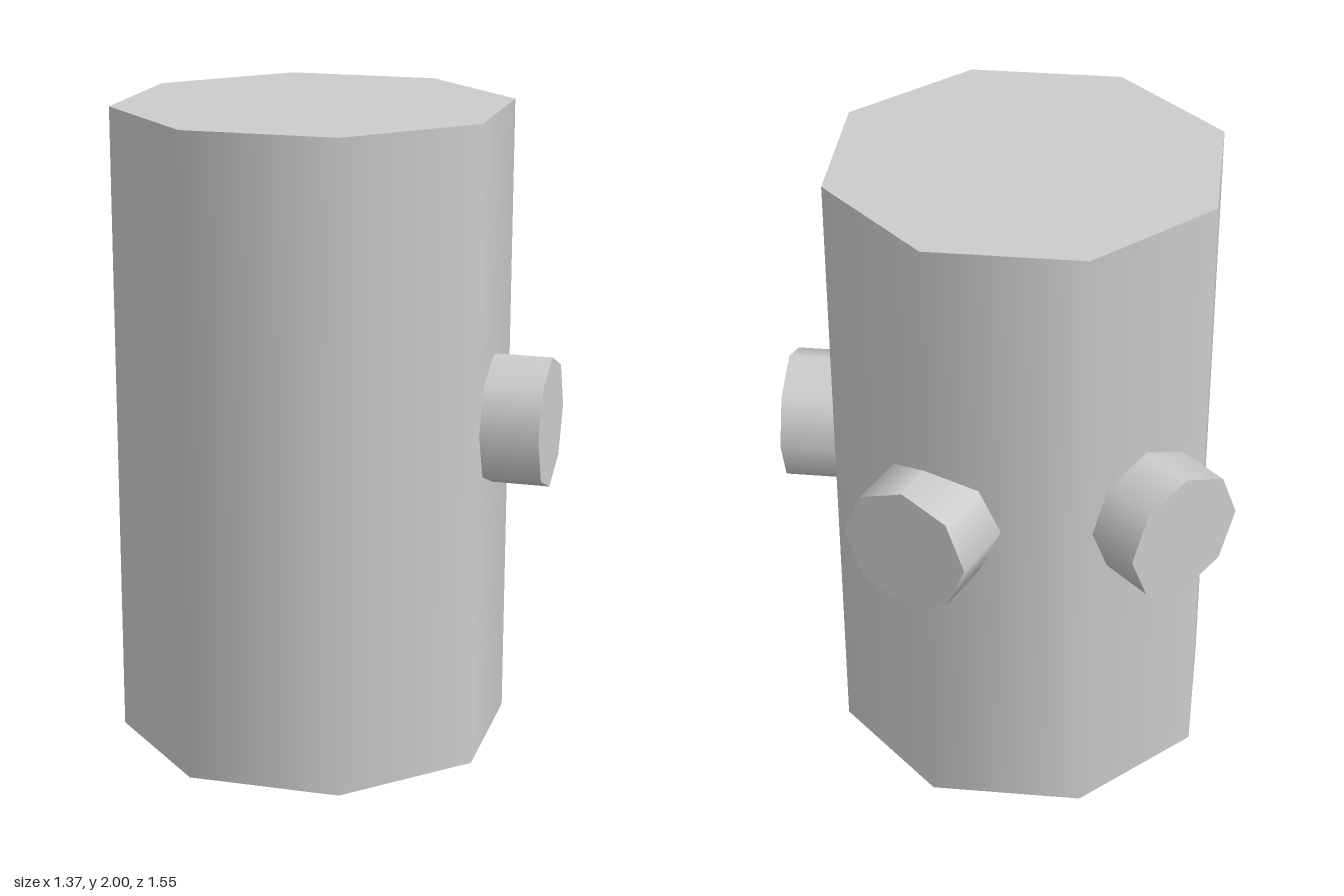
import * as THREE from 'three';

const BODY_X = -0.068;
const NUB_REACH = 0.751;

export function createModel() {
  const model = new THREE.Group();
  const grey = new THREE.MeshStandardMaterial({ color: 0xcccccc });
  grey.name = 'light grey';

  // Eight-sided body with smooth side shading
  const bodyGeo = new THREE.CylinderGeometry(0.618, 0.618, 2, 8, 1, false, -Math.PI / 2);
  const body = new THREE.Mesh(bodyGeo, grey);
  body.name = 'body';
  body.position.set(BODY_X, 1, 0);
  model.add(body);

  // Short eight-sided stubs pointing outwards, set into the body
  const length = 0.3;
  const stubGeo = new THREE.CylinderGeometry(0.206, 0.206, length, 8);
  stubGeo.rotateZ(-Math.PI / 2);
  stubGeo.translate(NUB_REACH - length / 2, 0, 0);

  const stubs = { frontStub: -67.5, leftStub: 0, backStub: 67.5 };
  for (const [name, degrees] of Object.entries(stubs)) {
    const stub = new THREE.Mesh(stubGeo, grey);
    stub.name = name;
    stub.position.set(BODY_X, 1.051, 0);
    stub.rotation.y = THREE.MathUtils.degToRad(degrees);
    model.add(stub);
  }
  return model;
}
